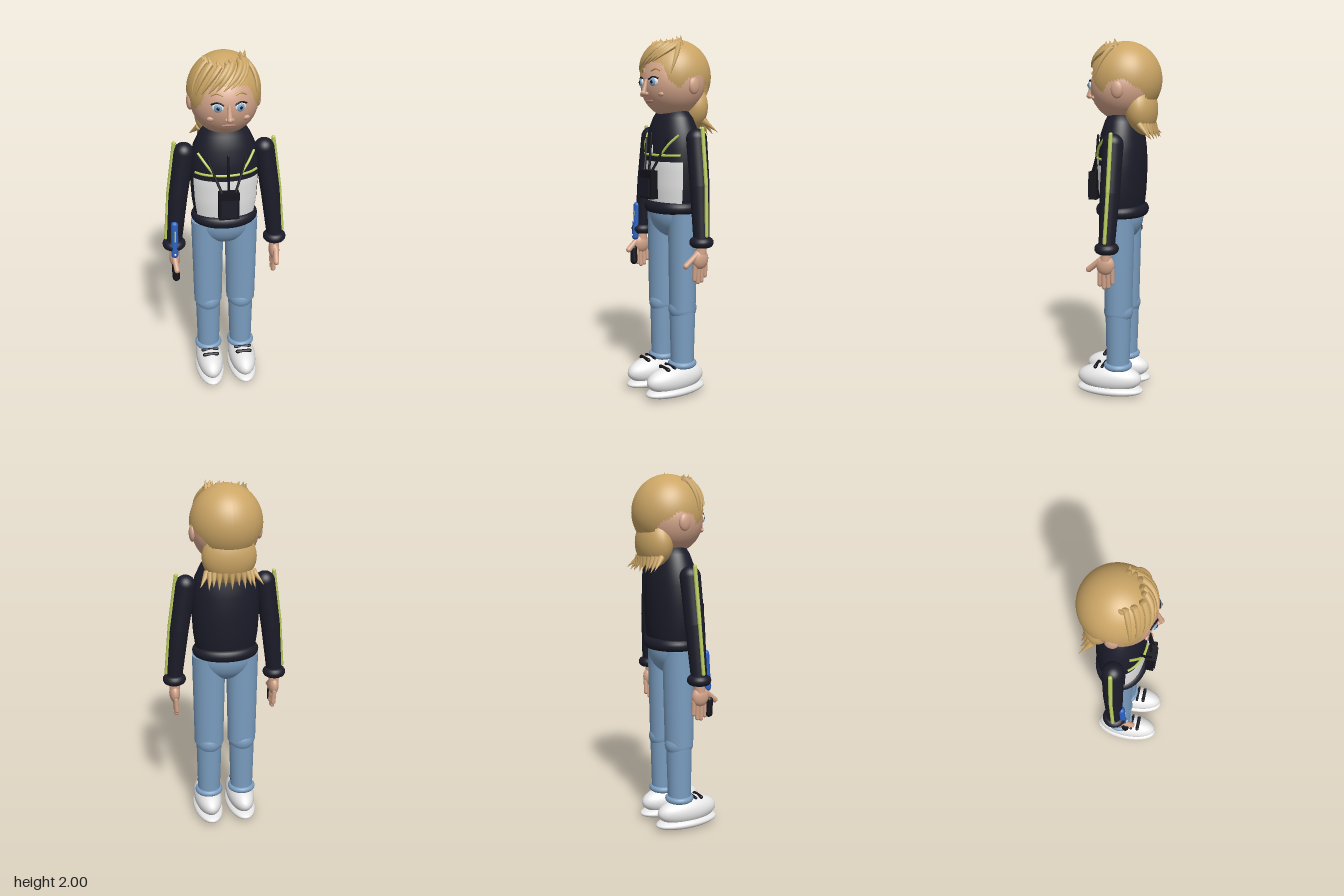
import * as THREE from 'three';

const mat = (name, color, side = THREE.FrontSide) => {
  const m = new THREE.MeshStandardMaterial({ color, side });
  m.name = name;
  return m;
};
const V = (x, y, z) => new THREE.Vector3(x, y, z);

export function createModel() {
  const root = new THREE.Group();
  root.name = 'standingFigure';
  const skin = mat('skin', 0xd2a389), hair = mat('hair', 0xcba565, THREE.DoubleSide);
  const navy = mat('navyJacket', 0x1b1c29), jeans = mat('denim', 0x7a9dc0);
  const white = mat('white', 0xe8e8e8, THREE.DoubleSide), lime = mat('limePiping', 0xb9cb5c);
  const blue = mat('blueBand', 0x2b62c4), black = mat('black', 0x14141b);
  const iris = mat('irisBlue', 0x7fa6cc), lip = mat('lip', 0xb07a6c);

  const add = (name, geo, m, pos = V(0, 0, 0)) => {
    const mesh = new THREE.Mesh(geo, m);
    mesh.name = name;
    mesh.position.copy(pos);
    root.add(mesh);
    return mesh;
  };
  const ball = (name, m, pos, rx, ry = rx, rz = rx, seg = 32) => {
    const b = add(name, new THREE.SphereGeometry(1, seg, seg * 0.75), m, pos);
    b.scale.set(rx, ry, rz);
    return b;
  };
  const aim = (mesh, a, b) => {
    mesh.quaternion.setFromUnitVectors(V(0, 1, 0), b.clone().sub(a).normalize());
    return mesh;
  };
  // Tapered cylinder, capsule and cone running from a to b
  const limb = (name, m, a, b, ra, rb) => aim(add(name,
    new THREE.CylinderGeometry(rb, ra, a.distanceTo(b), 32), m, a.clone().lerp(b, 0.5)), a, b);
  const rod = (name, m, a, b, r) => aim(add(name,
    new THREE.CapsuleGeometry(r, a.distanceTo(b), 6, 14), m, a.clone().lerp(b, 0.5)), a, b);
  const spike = (name, m, a, b, r) => aim(add(name,
    new THREE.ConeGeometry(r, a.distanceTo(b), 10), m, a.clone().lerp(b, 0.5)), a, b);
  const ring = (name, m, pos, R, r, sz = 1) => {
    const t = add(name, new THREE.TorusGeometry(R, r, 16, 40).rotateX(Math.PI / 2), m, pos);
    t.scale.z = sz;
    return t;
  };
  const tube = (name, m, pts, r) => add(name,
    new THREE.TubeGeometry(new THREE.CatmullRomCurve3(pts), 24, r, 8), m);

  // Jacket body
  const profile = [[0, 1.04], [0.15, 1.04], [0.167, 1.09], [0.18, 1.18], [0.187, 1.3], [0.183, 1.4],
    [0.168, 1.49], [0.135, 1.56], [0.1, 1.605], [0, 1.62]];
  const radiusAt = y => {
    const i = Math.max(1, profile.findIndex(p => p[1] >= y && p[1] > 1.04));
    const [r0, y0] = profile[i - 1], [r1, y1] = profile[i];
    return r0 + (r1 - r0) * (y - y0) / (y1 - y0);
  };
  const torsoZ = -0.017, depth = 0.71;
  const onTorso = (x, y, lift = 0.006) =>
    V(x, y, torsoZ + depth * Math.sqrt(Math.max(0, radiusAt(y) ** 2 - x * x)) + lift);
  add('jacketBody', new THREE.LatheGeometry(profile.map(p => new THREE.Vector2(...p)), 56), navy,
    V(0, 0, torsoZ)).scale.z = depth;
  ring('jacketHem', navy, V(0, 1.07, -0.015), 0.153, 0.033, 0.78);

  // White front panel wrapped around the belly
  const panelPts = [];
  for (let i = 0; i <= 10; i++) {
    const y = 1.09 + 0.235 * i / 10;
    panelPts.push(new THREE.Vector2(radiusAt(y) + 0.004, y));
  }
  add('frontPanel', new THREE.LatheGeometry(panelPts, 40, -1.15, 2.3), white,
    V(0, 0, torsoZ)).scale.z = depth;

  // Chest piping, zip and hanging radio
  const line = [];
  for (let i = -6; i <= 6; i++) line.push(onTorso(i * 0.0275, 1.36));
  tube('chestPiping', lime, line, 0.007);
  for (const s of [-1, 1]) {
    tube('diagonalPiping', lime, [0, 0.5, 1].map(t =>
      onTorso(s * (0.15 - 0.075 * t), 1.47 - 0.1 * t, 0.008)), 0.007);
    tube('radioCord', black, [onTorso(s * 0.1, 1.45), onTorso(s * 0.07, 1.36, 0.012),
      V(s * 0.035, 1.27, 0.15)], 0.007);
  }
  rod('zipPull', white, V(0, 1.37, 0.126), V(0, 1.41, 0.124), 0.007);
  rod('radioAntenna', black, V(0, 1.27, 0.142), V(0, 1.475, 0.125), 0.007);
  add('radio', new THREE.BoxGeometry(0.11, 0.155, 0.045), black, V(0, 1.2, 0.145));
  add('radioFace', new THREE.BoxGeometry(0.085, 0.1, 0.008), navy, V(0, 1.185, 0.17));

  // Pelvis
  ball('pelvis', jeans, V(0, 1.03, -0.017), 0.168, 0.135, 0.112);

  for (const s of [-1, 1]) {
    // Arm with cuff and sleeve piping
    const sh = V(s * 0.218, 1.45, -0.017), el = V(s * 0.257, 1.2, -0.01), wr = V(s * 0.288, 0.91, 0);
    ball('shoulder', navy, sh, 0.056);
    limb('upperSleeve', navy, sh, el, 0.056, 0.053);
    ball('elbow', navy, el, 0.053);
    limb('lowerSleeve', navy, el, wr, 0.053, 0.043);
    ring('sleeveCuff', navy, wr.clone().setY(0.905), 0.037, 0.028);
    const pipe = [V(s * 0.268, 1.505, -0.018), V(s * 0.31, 1.21, -0.012), V(s * 0.333, 0.945, 0)];
    rod('sleevePiping', lime, pipe[0], pipe[1], 0.011);
    rod('sleevePiping', lime, pipe[1], pipe[2], 0.01);

    // Hand
    limb('wrist', skin, V(s * 0.288, 0.92, 0), V(s * 0.288, 0.84, 0.005), 0.028, 0.03);
    ball('palm', skin, V(s * 0.288, 0.815, 0.008), 0.03, 0.055, 0.05);
    for (let i = 0; i < 4; i++) {
      const z = 0.04 - i * 0.023, len = [0.08, 0.095, 0.09, 0.065][i];
      rod('finger', skin, V(s * 0.286, 0.79, z), V(s * 0.281, 0.785 - len, z), 0.0125);
    }
    rod('thumb', skin, V(s * 0.292, 0.84, 0.035), V(s * 0.284, 0.785, 0.1), 0.016);

    // Trouser leg
    const hip = V(s * 0.095, 1.04, -0.018), knee = V(s * 0.097, 0.5, -0.015), ank = V(s * 0.099, 0.17, -0.013);
    limb('thigh', jeans, hip, knee, 0.083, 0.074).scale.z = 1.13;
    ball('knee', jeans, knee, 0.074, 0.074, 0.082);
    limb('shin', jeans, knee, ank, 0.073, 0.065);
    ring('trouserHem', jeans, V(s * 0.099, 0.18, -0.013), 0.063, 0.018);

    // Shoe
    ball('shoeUpper', white, V(s * 0.1, 0.102, 0.037), 0.08, 0.08, 0.186);
    ball('shoeSole', white, V(s * 0.1, 0.036, 0.034), 0.086, 0.036, 0.195);
    rod('lace', black, V(s * 0.1 - 0.038, 0.172, 0.11), V(s * 0.1 + 0.038, 0.172, 0.11), 0.011);
    rod('lace', black, V(s * 0.1 - 0.045, 0.177, 0.07), V(s * 0.1 + 0.045, 0.177, 0.07), 0.008);
  }

  // Forearm band and hand tool on the right arm
  rod('forearmBand', blue, V(-0.285, 1.045, 0.04), V(-0.29, 0.86, 0.05), 0.02);
  rod('bandLine', lime, V(-0.284, 1.01, 0.061), V(-0.286, 0.95, 0.064), 0.004);
  ball('bandButton', white, V(-0.289, 0.87, 0.071), 0.006);
  rod('handTool', black, V(-0.29, 0.79, 0.062), V(-0.287, 0.715, 0.062), 0.021);

  // Head and face
  ball('head', skin, V(0, 1.74, -0.015), 0.178, 0.18, 0.175, 48);
  const onFace = (x, y, lift = 0) =>
    V(x, y, -0.015 + 0.175 * Math.sqrt(1 - (x / 0.178) ** 2 - ((y - 1.74) / 0.18) ** 2) + lift);
  for (const s of [-1, 1]) {
    ball('ear', skin, V(s * 0.178, 1.73, -0.028), 0.018, 0.045, 0.033);
    const turn = s * 0.32;
    ball('eyeWhite', white, onFace(s * 0.058, 1.75), 0.03, 0.023, 0.01).rotation.y = turn;
    ball('iris', iris, onFace(s * 0.058, 1.75, 0.006), 0.021, 0.021, 0.008).rotation.y = turn;
    ball('pupil', black, onFace(s * 0.058, 1.75, 0.012), 0.009, 0.009, 0.005).rotation.y = turn;
    tube('upperLash', black, [onFace(s * 0.028, 1.764, 0.005), onFace(s * 0.058, 1.777, 0.006),
      onFace(s * 0.09, 1.766, 0.005)], 0.0045);
    tube('brow', hair, [onFace(s * 0.03, 1.81, 0.004), onFace(s * 0.06, 1.82, 0.004),
      onFace(s * 0.09, 1.808, 0.004)], 0.006);
    ball('cheek', skin, onFace(s * 0.088, 1.685, -0.004), 0.022, 0.013, 0.011);
    ball('nostril', skin, onFace(s * 0.013, 1.688, 0.012), 0.011);
  }
  limb('noseBridge', skin, onFace(0, 1.765, -0.002), onFace(0, 1.695, 0.02), 0.008, 0.014);
  ball('noseTip', skin, onFace(0, 1.692, 0.022), 0.015);
  tube('mouth', lip, [onFace(-0.032, 1.648), onFace(0, 1.65, 0.002), onFace(0.032, 1.648)], 0.007);

  // Hair cap: a dome whose lower edge follows the hairline around the head
  const C = V(0, 1.78, -0.033), R = V(0.193, 0.203, 0.197);
  const edges = [[0, 1.855], [0.55, 1.845], [0.85, 1.74], [1.08, 1.71], [1.35, 1.765], [1.7, 1.78],
    [2.1, 1.735], [2.6, 1.665], [3.15, 1.64]];
  const edgeY = a => {
    const i = edges.findIndex(e => e[0] >= a) || 1;
    const [a0, y0] = edges[i - 1], [a1, y1] = edges[i];
    return y0 + (y1 - y0) * THREE.MathUtils.smoothstep(a, a0, a1);
  };
  const onCap = (a, p, lift = 0) => V(C.x + (R.x + lift) * Math.sin(p) * Math.sin(a),
    C.y + (R.y + lift) * Math.cos(p), C.z + (R.z + lift) * Math.sin(p) * Math.cos(a));
  const cap = new THREE.SphereGeometry(1, 72, 28), cp = cap.attributes.position, uv = cap.attributes.uv;
  for (let i = 0; i < cp.count; i++) {
    const a = uv.getX(i) < 0 ? 0 : (i % 73) / 72 * Math.PI * 2 - Math.PI;
    const pMax = Math.acos((edgeY(Math.abs(a)) - C.y) / R.y);
    const q = onCap(a, Math.floor(i / 73) / 28 * pMax);
    cp.setXYZ(i, q.x, q.y, q.z);
  }
  cap.computeVertexNormals();
  add('hairCap', cap, hair);

  // Hair at the nape with a fringe of points
  ball('napeHair', hair, V(0, 1.62, -0.118), 0.145, 0.14, 0.09);
  for (let i = -5; i <= 5; i++) {
    const t = i / 5, a = t * 1.3, out = Math.abs(t) > 0.9 ? 1.3 : 1.05;
    const base = V(0.125 * Math.sin(a), 1.545, -0.118 - 0.066 * Math.cos(a));
    const tip = V(base.x * out + t * 0.012, 1.465 + 0.015 * (i & 1), -0.2 - 0.006 * Math.cos(a));
    spike('napePoint', hair, base, tip, 0.019);
  }

  // Swept fringe: tapered locks lying on the cap, each with a tuft at its root
  const lock = (a0, p0, a1, p1, r) => {
    const pts = [];
    for (let i = 0; i <= 6; i++) {
      const t = i / 6;
      pts.push(onCap(a0 + (a1 - a0) * t, p0 + (p1 - p0) * t, 0.004));
    }
    const curve = new THREE.CatmullRomCurve3(pts), n = 20, k = 8;
    const g = new THREE.TubeGeometry(curve, n, r, k), pos = g.attributes.position, v = V(0, 0, 0);
    for (let i = 0; i < pos.count; i++) {
      const t = Math.floor(i / (k + 1)) / n, c = curve.getPointAt(t);
      v.fromBufferAttribute(pos, i).sub(c).multiplyScalar(1 - 0.85 * t * t).add(c);
      pos.setXYZ(i, v.x, v.y, v.z);
    }
    g.computeVertexNormals();
    add('fringeLock', g, hair);
    spike('tuft', hair, onCap(a0, p0, -0.005), onCap(a0 - 0.15, p0 - 0.1, 0.028), r * 1.25);
  };
  lock(1.2, 0.5, 0.25, 1.2, 0.016);
  lock(0.95, 0.58, 0.05, 1.25, 0.016);
  lock(0.65, 0.62, -0.15, 1.3, 0.017);
  lock(0.25, 0.6, -0.35, 1.32, 0.017);
  lock(0.05, 0.66, -0.55, 1.38, 0.017);
  lock(-0.3, 0.7, -0.75, 1.42, 0.016);
  lock(-0.7, 0.65, -0.95, 1.5, 0.016);
  lock(-1.05, 0.62, -1.1, 1.55, 0.014);
  lock(1.1, 0.65, 0.85, 1.5, 0.014);
  spike('tuft', hair, V(0.095, 1.94, 0), V(0.102, 1.998, 0.004), 0.018);
  spike('tuft', hair, V(-0.1, 1.93, 0.01), V(-0.112, 1.975, -0.008), 0.018);
  return root;
}
